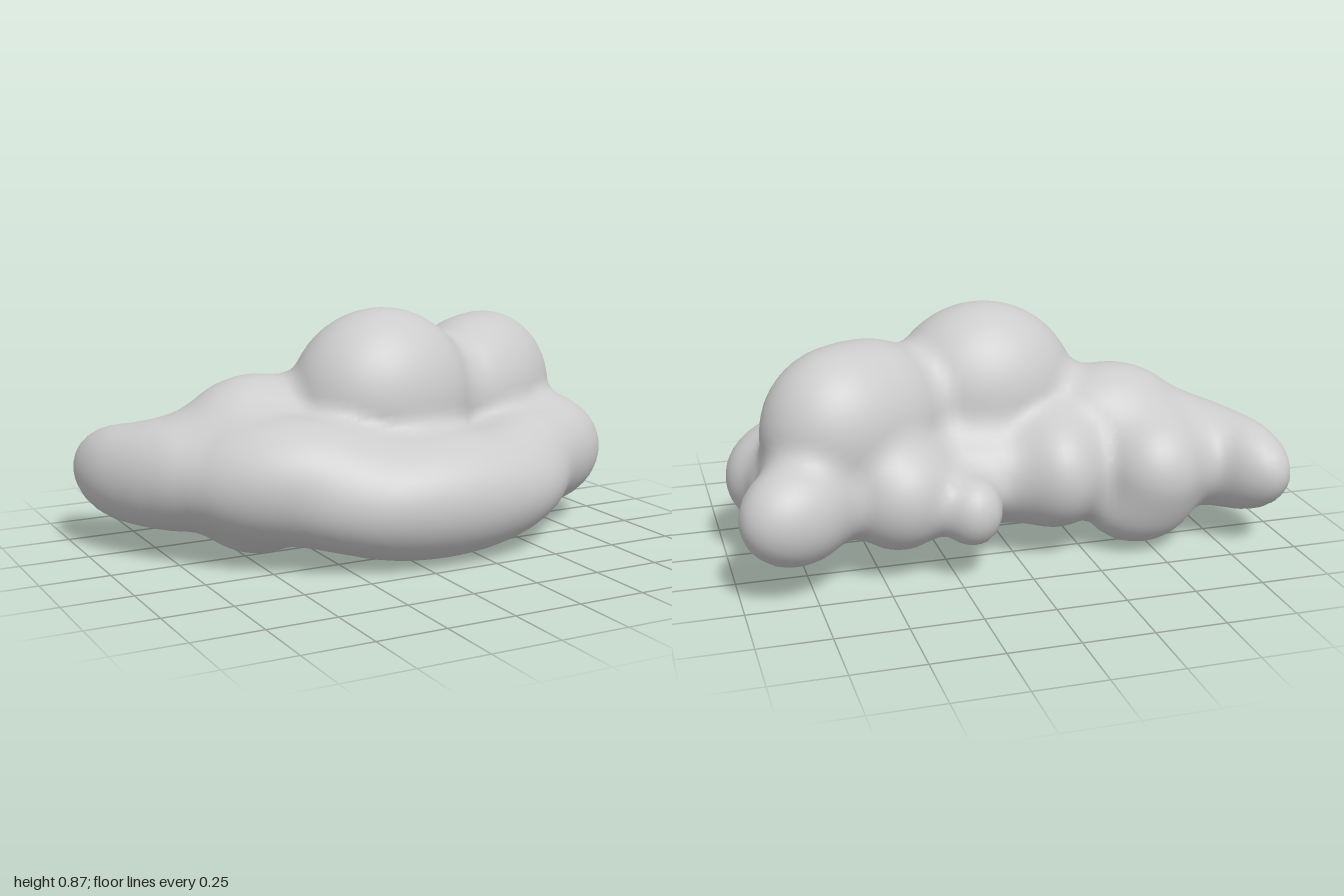
import * as THREE from 'three';

// Puffs of the cloud: centre x,y,z, radii x,y,z, turn about y
const PUFFS = [
  [0.04, 0.53, 0.02, 0.35, 0.34, 0.28, 0],         // crown
  [0.53, 0.50, -0.13, 0.37, 0.30, 0.265, 0.55],    // second crown
  [0.64, 0.53, -0.21, 0.22, 0.245, 0.20, 0.3],     // second crown, outer half
  [0.10, 0.232, 0.30, 0.54, 0.23, 0.27, 0],        // front belly
  [-0.40, 0.30, 0.14, 0.42, 0.23, 0.25, -0.55],    // belly, -x side
  [0.60, 0.28, 0.15, 0.38, 0.195, 0.20, 0.55],     // belly, +x side
  [0.74, 0.285, 0.03, 0.24, 0.205, 0.20, 0],       // belly end, +x side
  [0.05, 0.30, -0.08, 0.70, 0.22, 0.30, 0],        // core
  [-0.82, 0.285, -0.265, 0.29, 0.18, 0.15, -1.2],  // outer lobe, -x side
  [-0.68, 0.30, -0.15, 0.19, 0.205, 0.25, 0],      // bridge to outer lobe
  [-0.40, 0.40, -0.11, 0.30, 0.24, 0.23, 0],       // shoulder, -x side
  [-0.50, 0.30, -0.29, 0.20, 0.21, 0.225, 0],      // back lobe, -x side
  [-0.45, 0.16, 0.00, 0.19, 0.145, 0.16, 0],       // underside lump, front
  [-0.46, 0.16, -0.28, 0.19, 0.145, 0.17, 0],      // underside lump, back
  [-0.15, 0.31, -0.25, 0.17, 0.21, 0.22, 0],       // back lump
  [0.20, 0.25, -0.425, 0.105, 0.12, 0.11, 0],      // small back knob
  [0.43, 0.30, -0.30, 0.20, 0.20, 0.205, 0],       // back lump, +x side
  [0.68, 0.30, -0.18, 0.24, 0.19, 0.20, 0],        // bridge, +x side
  [0.79, 0.30, -0.39, 0.225, 0.18, 0.165, 0.6],    // back lobe, +x side
].map(([x, y, z, a, b, c, t]) => ({ x, y, z, a, b, c, cos: Math.cos(t), sin: Math.sin(t) }));

// Approximate distance to one turned ellipsoid
function puffDistance(p, x, y, z) {
  const dx = x - p.x, dz = z - p.z;
  const u = (dx * p.cos - dz * p.sin) / p.a;
  const v = (y - p.y) / p.b;
  const w = (dx * p.sin + dz * p.cos) / p.c;
  const k0 = Math.hypot(u, v, w);
  const k1 = Math.hypot(u / p.a, v / p.b, w / p.c);
  return k1 < 1e-6 ? -Math.min(p.a, p.b, p.c) : k0 * (k0 - 1) / k1;
}

// Soft union of all puffs
function field(x, y, z) {
  const k = 0.08;
  let d = 10;
  for (const p of PUFFS) {
    const e = puffDistance(p, x, y, z);
    const h = Math.max(k - Math.abs(d - e), 0) / k;
    d = Math.min(d, e) - h * h * k / 4;
  }
  return d;
}

// Skin the field: one vertex per crossed cell, one quad per crossed edge
function skin(min, max, step) {
  const n = min.map((m, i) => Math.ceil((max[i] - m) / step) + 1);
  const stride = [1, n[0], n[0] * n[1]];
  const values = new Float32Array(n[0] * n[1] * n[2]);
  const each = (from, less, visit) => {
    for (let k = from; k < n[2] - less; k++)
      for (let j = from; j < n[1] - less; j++)
        for (let i = from; i < n[0] - less; i++) visit(i, j, k, i + j * stride[1] + k * stride[2]);
  };
  each(0, 0, (i, j, k, id) => {
    values[id] = field(min[0] + i * step, min[1] + j * step, min[2] + k * step);
  });

  const corner = (c) => [c & 1, (c >> 1) & 1, c >> 2];
  const positions = [], normals = [], index = [];
  const vertexOf = new Int32Array(values.length).fill(-1);
  each(0, 1, (i, j, k, id) => {
    const sum = [0, 0, 0];
    let count = 0;
    for (let c = 0; c < 8; c++) {
      const o = corner(c);
      const s = id + o[0] + o[1] * stride[1] + o[2] * stride[2];
      for (let a = 0; a < 3; a++) {
        if (o[a]) continue;
        const v0 = values[s], v1 = values[s + stride[a]];
        if ((v0 < 0) === (v1 < 0)) continue;
        for (let q = 0; q < 3; q++) sum[q] += o[q] + (q === a ? v0 / (v0 - v1) : 0);
        count++;
      }
    }
    if (!count) return;
    vertexOf[id] = positions.length / 3;
    const [x, y, z] = [i, j, k].map((g, q) => min[q] + (g + sum[q] / count) * step);
    positions.push(x, y, z);
    // Smooth normal from the slope of the field
    const e = 0.01;
    const slope = new THREE.Vector3(
      field(x + e, y, z) - field(x - e, y, z),
      field(x, y + e, z) - field(x, y - e, z),
      field(x, y, z + e) - field(x, y, z - e)).normalize();
    normals.push(slope.x, slope.y, slope.z);
  });
  each(1, 1, (i, j, k, id) => {
    for (let a = 0; a < 3; a++) {
      const inside = values[id] < 0;
      if (inside === (values[id + stride[a]] < 0)) continue;
      const b = stride[(a + 1) % 3], c = stride[(a + 2) % 3];
      const q = [id - b - c, id - c, id, id - b].map((s) => vertexOf[s]);
      if (!inside) q.reverse();
      index.push(q[0], q[1], q[2], q[0], q[2], q[3]);
    }
  });

  const geometry = new THREE.BufferGeometry();
  geometry.setAttribute('position', new THREE.Float32BufferAttribute(positions, 3));
  geometry.setAttribute('normal', new THREE.Float32BufferAttribute(normals, 3));
  geometry.setIndex(index);
  return geometry;
}

export function createModel() {
  const group = new THREE.Group();
  group.name = 'cloud';
  const body = new THREE.Mesh(
    skin([-1.1, -0.1, -0.7], [1.1, 1, 0.7], 0.028),
    new THREE.MeshStandardMaterial({ color: 0xcccccc }));
  body.name = 'cloudBody';
  group.add(body);
  return group;
}
